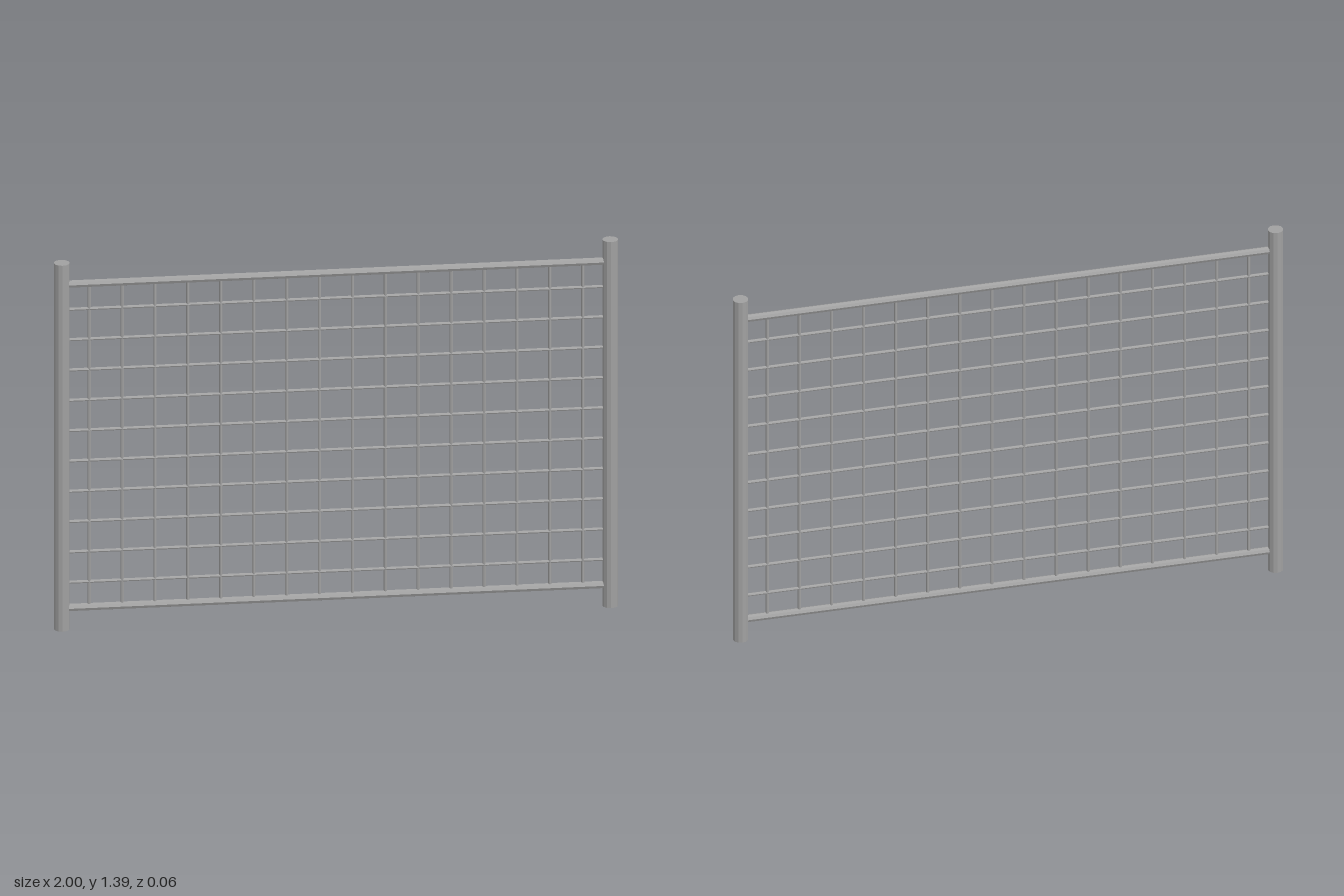
import * as THREE from 'three';

export function createModel() {
  const group = new THREE.Group();
  group.name = 'fencePanel';
  const steel = new THREE.MeshStandardMaterial({ color: 0xa0a0a0, flatShading: true });
  steel.name = 'greySteel';

  const postX = 0.972, height = 1.392, midY = 0.695, railOffset = 0.615;

  // Straight bar centred on (x, y), upright or lying along x
  function bar(name, radius, length, sides, x, y, lying = false) {
    const geometry = new THREE.CylinderGeometry(radius, radius, length, sides);
    if (lying) geometry.rotateZ(Math.PI / 2);
    const mesh = new THREE.Mesh(geometry, steel);
    mesh.name = name;
    mesh.position.set(x, y, 0);
    group.add(mesh);
  }

  // End posts
  bar('leftPost', 0.028, height, 12, postX, height / 2);
  bar('rightPost', 0.028, height, 12, -postX, height / 2);

  // Top and bottom rails
  bar('topRail', 0.014, postX * 2, 8, 0, midY + railOffset, true);
  bar('bottomRail', 0.014, postX * 2, 8, 0, midY - railOffset, true);

  // Upright mesh wires
  for (let i = 0; i < 16; i++) {
    bar('uprightWire', 0.006, railOffset * 2, 8, (i - 7.5) * 0.1166, midY);
  }

  // Level mesh wires
  for (let i = 0; i < 10; i++) {
    bar('levelWire', 0.006, postX * 2, 8, 0, midY + (i - 4.5) * 0.1153, true);
  }
  return group;
}
